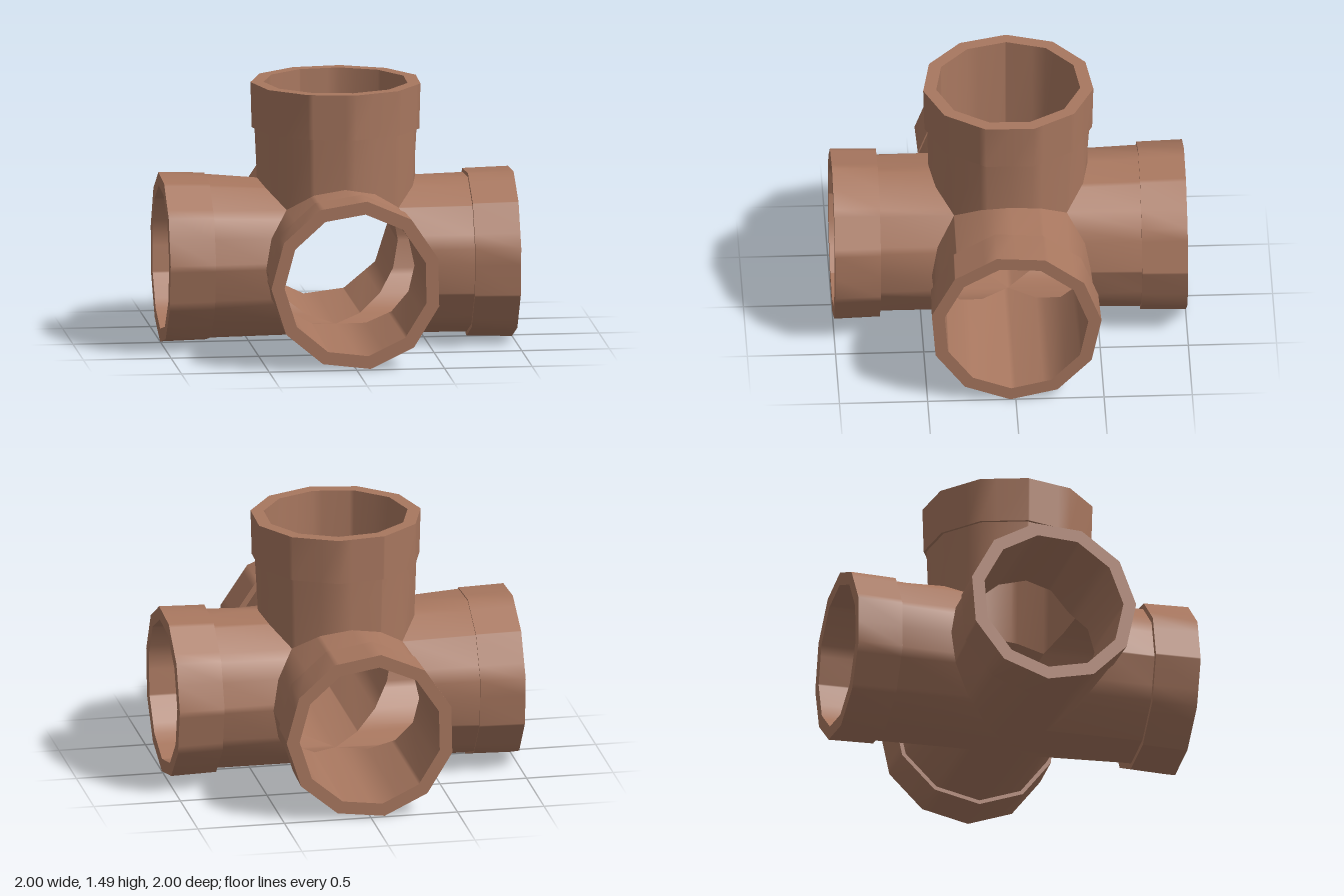
import * as THREE from 'three';
import { mergeGeometries } from 'three/addons/utils/BufferGeometryUtils.js';

const DEG = Math.PI / 180;
const ROOT_OUTER = 0.452, ROOT_BORE = 0.4;
const COLLAR = 0.74, CENTRE_Y = 0.485;
const X = new THREE.Vector3(1, 0, 0), Y = new THREE.Vector3(0, 1, 0), Z = new THREE.Vector3(0, 0, 1);
const neg = (v) => v.clone().negate();

// axis = u x v; turn rotates the eleven-sided mouth; neck is the radius just before the collar
const ARMS = [
  { name: 'frontSocket', axis: Z, u: X, v: Y, turn: 83, neck: 0.447 },
  { name: 'leftSocket', axis: X, u: neg(Z), v: Y, turn: 70, neck: 0.457 },
  { name: 'backSocket', axis: neg(Z), u: neg(X), v: Y, turn: 83, neck: 0.462 },
  { name: 'rightSocket', axis: neg(X), u: Z, v: Y, turn: 70, neck: 0.472 },
  { name: 'topSocket', axis: Y, u: Z, v: X, turn: 7, neck: 0.464 },
];

// Radius of a regular polygon at a given angle in degrees
function polygonRadius(r, sides, turn, angle) {
  const step = 360 / sides;
  const a = (((angle - turn) % step) + step) % step;
  return r * Math.cos(step / 2 * DEG) / Math.cos((a - step / 2) * DEG);
}

// Smooth band between two rings of points
function band(a, b) {
  const n = a.length, index = [];
  for (let i = 0; i < n; i++) {
    const j = (i + 1) % n;
    index.push(i, j, n + j, i, n + j, n + i);
  }
  const g = new THREE.BufferGeometry().setFromPoints([...a, ...b]);
  g.setIndex(index);
  g.computeVertexNormals();
  return g;
}

function socketGeometry({ axis, u, v, turn, neck }) {
  // Angles hold both the mouth corners and the mitre corners
  const angles = [];
  for (let i = 0; i < 16; i++) angles.push(i * 22.5);
  for (let i = 0; i < 11; i++) angles.push((turn + i * 360 / 11) % 360);
  angles.sort((a, b) => a - b);
  const unique = angles.filter((a, i) => i === 0 || a - angles[i - 1] > 0.01);

  const radial = (angle, r) => new THREE.Vector3()
    .addScaledVector(u, r * Math.cos(angle * DEG))
    .addScaledVector(v, r * Math.sin(angle * DEG));
  const ring = (r, t) => unique.map((a) =>
    radial(a, polygonRadius(r, 11, turn, a)).addScaledVector(axis, t));
  // Start of the arm, cut where it meets its neighbours
  const mitre = (r) => unique.map((a) => {
    const p = radial(a, polygonRadius(r, 16, 0, a));
    const t = Math.max(0, ...ARMS.map((arm) => p.dot(arm.axis)));
    return p.addScaledVector(axis, t);
  });

  // Outer wall, collar step, collar, rim, bore
  const rings = [
    mitre(ROOT_OUTER), ring(neck, COLLAR), ring(0.48, COLLAR),
    ring(0.487, 1), ring(0.412, 1), mitre(ROOT_BORE),
  ];
  return mergeGeometries(rings.slice(1).map((r, i) => band(rings[i], r)));
}

export function createModel() {
  const model = new THREE.Group();
  model.name = 'fiveWayPipeFitting';
  const clay = new THREE.MeshStandardMaterial({ color: 0xa8775f });
  clay.name = 'clayBrown';
  for (const arm of ARMS) {
    const mesh = new THREE.Mesh(socketGeometry(arm), clay);
    mesh.name = arm.name;
    mesh.position.y = CENTRE_Y;
    model.add(mesh);
  }
  return model;
}
